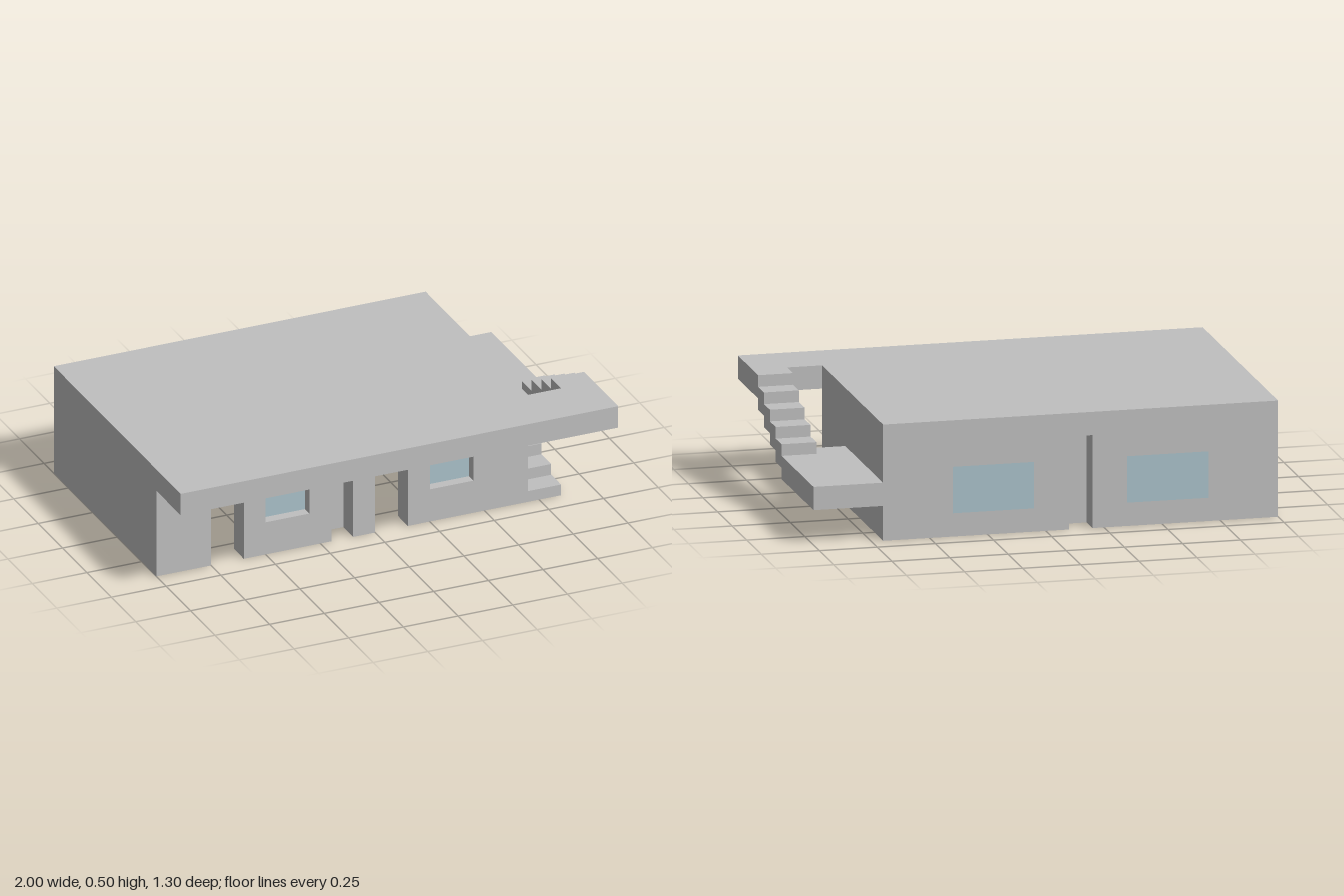
import * as THREE from 'three';

const concrete = new THREE.MeshStandardMaterial({ color: 0xbfbfbf });
concrete.name = 'concrete';
const glass = new THREE.MeshStandardMaterial({ color: 0xaac2ca });
glass.name = 'pale glass';
const blue = new THREE.MeshStandardMaterial({ color: 0x6c86cc });
blue.name = 'blue strip';

export function createModel() {
  const group = new THREE.Group();

  const add = (name, geometry, material = concrete) => {
    const mesh = new THREE.Mesh(geometry, material);
    mesh.name = name;
    group.add(mesh);
  };
  const box = (name, x0, x1, y0, y1, z0, z1, material) => {
    const g = new THREE.BoxGeometry(x1 - x0, y1 - y0, z1 - z0);
    g.translate((x0 + x1) / 2, (y0 + y1) / 2, (z0 + z1) / 2);
    add(name, g, material);
  };
  const polygon = (pts) => new THREE.Shape(pts.map(([a, b]) => new THREE.Vector2(a, b)));
  const rect = (a0, a1, b0, b1) => [[a0, b0], [a1, b0], [a1, b1], [a0, b1]];
  const extrude = (pts, holes, depth) => {
    const shape = polygon(pts);
    shape.holes = holes.map(polygon);
    return new THREE.ExtrudeGeometry(shape, { depth, bevelEnabled: false });
  };
  // Horizontal slab from an outline of [x, z] points
  const slab = (name, pts, holes, y0, y1) => {
    const flip = (list) => list.map(([x, z]) => [x, -z]);
    add(name, extrude(flip(pts), holes.map(flip), y1 - y0).rotateX(-Math.PI / 2).translate(0, y0, 0));
  };
  // Upright wall panel from an outline of [x, y] points
  const panel = (name, pts, holes, z0, z1) =>
    add(name, extrude(pts, holes, z1 - z0).translate(0, 0, z0));

  // Roof with a stepped stairwell cutout
  slab('roof', [[-1, -0.65], [0.7, -0.65], [0.7, 0.4], [0.85, 0.4], [0.85, 0.3],
    [1, 0.3], [1, 0.65], [-1, 0.65]], [], 0.4, 0.5);

  // Side walls, each with a blue strip let into the underside
  for (const [side, x] of [['right', -1], ['left', 0.6]]) {
    const strip = [x + 0.03, x + 0.07, -0.6, 0.35];
    slab(side + 'WallBase', rect(x, x + 0.1, -0.65, 0.4), [rect(...strip)], 0, 0.008);
    box(side + 'Wall', x, x + 0.1, 0.008, 0.4, -0.65, 0.4);
    box(side + 'WallStrip', strip[0], strip[1], 0, 0.008, strip[2], strip[3], blue);
  }

  // Partition between the two rooms, set back from both faces
  box('partition', -0.2, -0.1, 0, 0.4, -0.55, 0.3);

  // Each room: front wall with door and window, back wall with wide window
  const rooms = [
    { name: 'rightRoom', x0: -0.9, x1: -0.2, door: [-0.75, -0.6], win: [-0.5, -0.3], back: [-0.7, -0.35] },
    { name: 'leftRoom', x0: -0.1, x1: 0.6, door: [0, 0.15], win: [0.25, 0.45], back: [0.05, 0.4] },
  ];
  for (const { name, x0, x1, door: [d0, d1], win, back } of rooms) {
    panel(name + 'FrontWall', [[x0, 0], [d0, 0], [d0, 0.3], [d1, 0.3], [d1, 0], [x1, 0],
      [x1, 0.4], [x0, 0.4]], [rect(...win, 0.15, 0.3)], 0.3, 0.4);
    box(name + 'FrontWindow', ...win, 0.15, 0.3, 0.346, 0.354, glass);
    panel(name + 'BackWall', rect(x0, x1, 0, 0.4), [rect(...back, 0.1, 0.3)], -0.65, -0.55);
    box(name + 'BackWindow', ...back, 0.1, 0.3, -0.65, -0.55, glass);
  }

  // Stair landing, with the lower flight meeting it further forward
  slab('landing', [[0.7, -0.65], [1, -0.65], [1, -0.1], [0.85, -0.1], [0.85, 0], [0.7, 0]],
    [], 0.15, 0.25);

  // Four-step flight rising from zStart in direction dir
  const flight = (name, x0, x1, zStart, dir, yStart) => {
    const top = [], bottom = [];
    for (let i = 0; i < 4; i++) {
      const y = yStart + 0.05 * (i + 1), low = Math.max(0, y - 0.1);
      const a = zStart + dir * 0.1 * i, b = a + dir * 0.1;
      top.push([a, y], [b, y]);
      // The first two steps of a grounded flight share one flat base
      if (i > 0 && low === 0) bottom[0] = [b, 0];
      else bottom.unshift([b, low], [a, low]);
    }
    const g = extrude([...top, ...bottom], [], x1 - x0);
    add(name, g.rotateY(-Math.PI / 2).translate(x1, 0, 0));
  };
  flight('lowerStairs', 0.7, 0.85, 0.4, -1, 0);
  flight('upperStairs', 0.85, 1, -0.1, 1, 0.25);

  return group;
}
